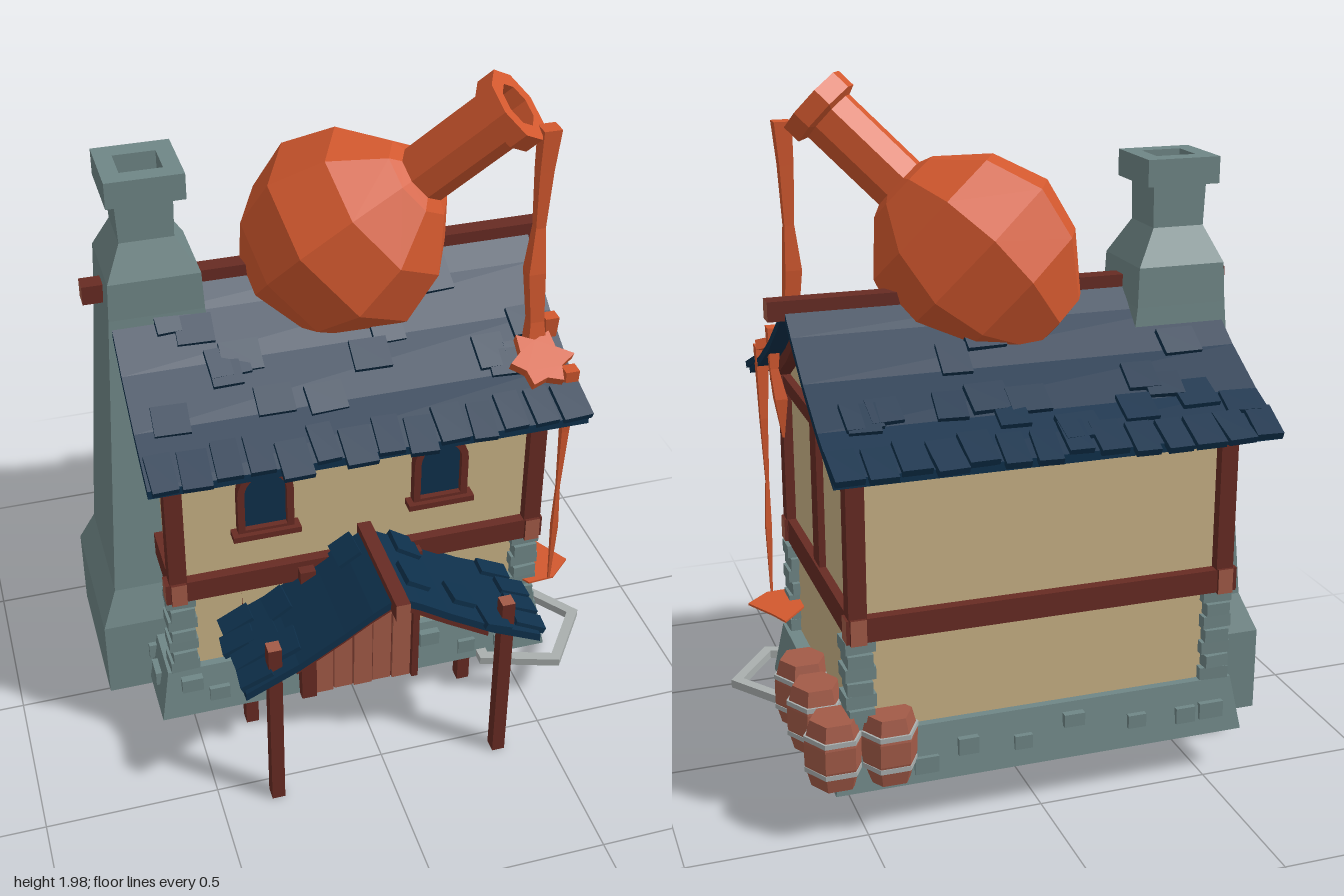
import * as THREE from 'three';

const mat = (name, color) => {
  const m = new THREE.MeshStandardMaterial({ color });
  m.name = name;
  return m;
};
const plaster = mat('plaster', 0xc8b185), wood = mat('darkWood', 0x672b23), cut = mat('lightWood', 0xa25a47),
  tile = mat('blueTile', 0x0e304b), stone = mat('stone', 0x6f8686), orange = mat('orange', 0xd2582e),
  metal = mat('paleMetal', 0xa9afae);

let seed = 7;
const rnd = (a = 0, b = 1) => {
  seed = (seed * 16807) % 2147483647;
  return a + (b - a) * seed / 2147483647;
};

function add(parent, name, geo, material, x = 0, y = 0, z = 0) {
  const m = new THREE.Mesh(geo, material);
  m.name = name;
  m.position.set(x, y, z);
  parent.add(m);
  return m;
}
function group(parent, name) {
  const g = new THREE.Group();
  g.name = name;
  parent.add(g);
  return g;
}
// Box given by its min and max corners
const span = (p, name, m, x0, x1, y0, y1, z0, z1) =>
  add(p, name, new THREE.BoxGeometry(x1 - x0, y1 - y0, z1 - z0), m, (x0 + x1) / 2, (y0 + y1) / 2, (z0 + z1) / 2);

// Flat-shaded skin over rectangles [y, x0, x1, z0, z1]
function loft(rings, capped = true) {
  const pts = rings.map(([y, x0, x1, z0, z1]) => [[x0, y, z1], [x1, y, z1], [x1, y, z0], [x0, y, z0]]);
  const pos = [];
  const quad = (a, b, c, d) => pos.push(...a, ...b, ...c, ...a, ...c, ...d);
  for (let i = 0; i + 1 < pts.length; i++)
    for (let k = 0; k < 4; k++) {
      const n = (k + 1) % 4;
      quad(pts[i][k], pts[i][n], pts[i + 1][n], pts[i + 1][k]);
    }
  if (capped) {
    const [a, b, c, d] = pts[0];
    quad(a, d, c, b);
    quad(...pts[pts.length - 1]);
  }
  const g = new THREE.BufferGeometry();
  g.setAttribute('position', new THREE.Float32BufferAttribute(pos, 3));
  g.computeVertexNormals();
  return g;
}
const strand = list => loft(list.map(([x, y, z, r]) => [y, x - r, x + r, z - r, z + r]));
const extrude = (points, depth) => {
  const g = new THREE.ExtrudeGeometry(new THREE.Shape(points.map(p => new THREE.Vector2(...p))), { depth, bevelEnabled: false });
  return g.translate(0, 0, -depth / 2);
};

// Curved strip following a mirrored roof profile of [distance from ridge, height]
function strip(profile, top, bottom, depth) {
  const row = off => [...profile.slice(1).reverse().map(([d, y]) => [-d, y + off]), ...profile.map(([d, y]) => [d, y + off])];
  return extrude([...row(bottom), ...row(top).reverse()], depth);
}

// Roof with its ridge along local z, ragged eaves and loose shingles
function roof(parent, name, profile, length, loose, size) {
  const g = group(parent, name);
  add(g, 'roofSlab', strip(profile, 0, -0.025, length), tile);
  const shingle = (side, d, z, l, w) => {
    let i = 1;
    while (i < profile.length - 1 && profile[i][0] < d) i++;
    const [d0, y0] = profile[i - 1], [d1, y1] = profile[i];
    const slope = (y1 - y0) / (d1 - d0);
    const m = add(g, 'shingle', new THREE.BoxGeometry(l, 0.02, w), tile, side * d, y0 + slope * (d - d0) + 0.004, z);
    m.rotation.set(0, rnd(-0.08, 0.08), side * Math.atan(slope));
  };
  const end = profile[profile.length - 1][0];
  for (const side of [-1, 1]) {
    for (let z = -length / 2 + size / 2; z < length / 2 - size / 3; z += size)
      shingle(side, end - rnd(0.015, 0.05), z, size * 1.3, size * rnd(0.75, 0.98));
    for (let i = 0; i < loose; i++)
      shingle(side, rnd(0.12, 0.85) * end, rnd(-0.44, 0.44) * length, size * rnd(0.9, 1.2), size * rnd(0.9, 1.3));
  }
  return g;
}

function window_(parent, x) {
  const g = group(parent, 'window');
  const arch = (r, y0) => {
    const s = new THREE.Shape();
    s.moveTo(-r, y0);
    s.lineTo(r, y0);
    s.lineTo(r, 0.905);
    s.absarc(0, 0.905, r, 0, Math.PI, false);
    return s;
  };
  const frame = arch(0.08, 0.77);
  frame.holes.push(arch(0.06, 0.785));
  const opt = depth => ({ depth, bevelEnabled: false, curveSegments: 6 });
  add(g, 'windowFrame', new THREE.ExtrudeGeometry(frame, opt(0.03)), wood, x, 0, 0.275);
  add(g, 'windowPane', new THREE.ExtrudeGeometry(arch(0.062, 0.78), opt(0.009)), tile, x, 0, 0.278);
  span(g, 'windowSill', wood, x - 0.097, x + 0.097, 0.758, 0.776, 0.275, 0.32);
}

function barrel(parent, x, z) {
  const g = group(parent, 'barrel');
  g.position.set(x, 0.155, z);
  const flat = geo => geo.rotateY(Math.PI / 2).toNonIndexed();
  const shape = [[0, 0], [0.066, 0], [0.083, 0.065], [0.083, 0.13], [0.066, 0.195], [0, 0.195]].map(p => new THREE.Vector2(...p));
  const body = flat(new THREE.LatheGeometry(shape, 6));
  body.computeVertexNormals();
  add(g, 'barrelBody', body, cut);
  for (const y of [0.052, 0.145]) {
    const hoop = flat(new THREE.CylinderGeometry(0.084, 0.084, 0.014, 6));
    hoop.computeVertexNormals();
    add(g, 'barrelHoop', hoop, metal, 0, y, 0);
  }
}

export function createModel() {
  const model = new THREE.Group();
  model.name = 'alchemistHouse';
  const cx = -0.015, cz = -0.093;
  const ring = (y, w, d) => [y, cx - w, cx + w, cz - d, cz + d];

  // Ground floor: hollow walls, flared stone base, corner stones
  add(model, 'lowerWalls', loft([ring(0.13, 0.53, 0.355), ring(0.57, 0.53, 0.355), ring(0.57, 0.51, 0.335), ring(0.13, 0.51, 0.335), ring(0.13, 0.53, 0.355)], false), plaster);
  add(model, 'stoneBase', loft([ring(0.13, 0.6, 0.403), ring(0.29, 0.572, 0.378), ring(0.29, 0.525, 0.35), ring(0.13, 0.525, 0.35), ring(0.13, 0.6, 0.403)], false), stone);
  const stones = group(model, 'stones');
  for (const sx of [-1, 1]) for (const sz of [-1, 1])
    for (let i = 0; i < 7; i++) {
      const w = i % 2 ? 0.07 : 0.085;
      add(stones, 'cornerStone', new THREE.BoxGeometry(w, 0.037, 0.155 - w), stone, cx + sx * 0.52, 0.31 + i * 0.04, cz + sz * 0.348).rotation.y = rnd(-0.08, 0.08);
    }
  for (const s of [-1, 1]) {
    for (const x of [-0.52, -0.44, -0.29, 0.21, 0.33, 0.45, ...(s < 0 ? [-0.1, 0.05] : [])])
      add(stones, 'baseStone', new THREE.BoxGeometry(rnd(0.05, 0.075), rnd(0.035, 0.05), 0.03), stone, x, rnd(0.175, 0.25), cz + s * 0.389);
    for (const z of [-0.38, -0.25, -0.14, 0.0, 0.1, 0.19])
      add(stones, 'baseStone', new THREE.BoxGeometry(0.03, rnd(0.035, 0.05), rnd(0.05, 0.075)), stone, cx + s * 0.584, rnd(0.175, 0.25), z);
  }

  // Upper floor with curved gables
  const main = [[0, 1.395], [0.09, 1.325], [0.22, 1.235], [0.37, 1.15], [0.53, 1.08]];
  const gable = [[-0.37, 0.57], [0.37, 0.57], [0.37, 1.12], [0.22, 1.21], [0.09, 1.3], [0, 1.365], [-0.09, 1.3], [-0.22, 1.21], [-0.37, 1.12]];
  const upper = group(model, 'upperFloor');
  upper.position.set(cx, 0, cz);
  upper.rotation.y = Math.PI / 2;
  add(upper, 'upperWalls', extrude(gable, 1.05), plaster);
  for (const s of [-1, 1])
    add(upper, 'gableTrim', strip(main.slice(0, 4).concat([[0.46, 1.11]]), -0.02, -0.065, 0.04), wood, 0, 0, s * 0.545);
  roof(upper, 'mainRoof', main, 1.225, 16, 0.088);

  // Timber frame
  const frame = group(model, 'timberFrame');
  const ends = [cut, cut, wood, wood, wood, wood], endsZ = [wood, wood, wood, wood, cut, cut];
  for (const s of [-1, 1]) {
    const z = cz + s * 0.378, x = cx + s * 0.528;
    span(frame, 'lowerBeam', ends, cx - 0.565, cx + 0.56, 0.57, 0.638, z - 0.023, z + 0.023);
    span(frame, 'upperBeam', wood, cx - 0.55, cx + 0.55, 1.05, 1.095, z - 0.02, z + 0.02);
    span(frame, 'sideLowerBeam', endsZ, x - 0.022, x + 0.022, 0.567, 0.64, cz - 0.41, cz + 0.41);
    span(frame, 'sideUpperBeam', wood, x - 0.02, x + 0.02, 1.05, 1.092, cz - 0.395, cz + 0.395);
    span(frame, 'middlePost', wood, x - 0.016, x + 0.016, 0.6, 1.06, cz - 0.035, cz + 0.035);
    for (const t of [-1, 1]) {
      const pz = cz + t * 0.376;
      span(frame, 'cornerPost', wood, x - 0.025, x + 0.025, 0.6, 1.09, pz - 0.025, pz + 0.025);
    }
  }
  span(frame, 'ridgeBeam', ends, -0.69, 0.645, 1.355, 1.41, cz - 0.026, cz + 0.026);
  window_(model, -0.285);
  window_(model, 0.225);

  // Door
  const door = group(model, 'door');
  for (let i = 0; i < 5; i++)
    span(door, 'doorPlank', cut, -0.153 + i * 0.06, -0.097 + i * 0.06, 0.13, 0.49, 0.27, i % 2 ? 0.32 : 0.325);
  span(door, 'doorBack', wood, -0.155, 0.15, 0.13, 0.49, 0.265, 0.315);
  span(door, 'doorPost', wood, -0.198, -0.153, 0.13, 0.62, 0.265, 0.338);
  span(door, 'doorPost', wood, 0.145, 0.165, 0.13, 0.62, 0.265, 0.338);
  span(door, 'doorLintel', wood, -0.198, 0.165, 0.488, 0.525, 0.265, 0.338);

  // Porch
  const porch = group(model, 'porch');
  const small = [[0, 0.705], [0.07, 0.665], [0.15, 0.612], [0.28, 0.533], [0.43, 0.462]];
  roof(porch, 'porchRoof', small, 0.31, 4, 0.075).position.set(0.005, 0, 0.447);
  add(porch, 'porchTrim', strip(small.slice(0, 4), -0.02, -0.06, 0.035), wood, 0.005, 0, 0.56);
  span(porch, 'porchRidgeBeam', endsZ, -0.015, 0.025, 0.665, 0.718, 0.28, 0.648);
  const postEnds = [wood, wood, cut, wood, wood, wood];
  for (const x of [-0.335, 0.343]) {
    span(porch, 'porchPost', postEnds, x - 0.019, x + 0.019, 0, 0.575, 0.537, 0.577);
    span(porch, 'porchRearPost', postEnds, x - 0.019, x + 0.019, 0, 0.56, 0.222, 0.262);
  }

  // Chimney with a hollow cap
  add(model, 'chimney', loft([
    [0.1, -0.74, -0.15, -0.335, 0.115], [0.35, -0.74, -0.15, -0.335, 0.115], [0.46, -0.695, -0.25, -0.295, 0.08],
    [1.34, -0.635, -0.37, -0.235, 0.012], [1.45, -0.63, -0.375, -0.23, 0.01], [1.55, -0.585, -0.435, -0.18, -0.03],
    [1.67, -0.59, -0.432, -0.18, -0.03], [1.67, -0.616, -0.402, -0.21, 0], [1.745, -0.616, -0.402, -0.21, 0],
    [1.745, -0.567, -0.45, -0.153, -0.05], [1.65, -0.567, -0.45, -0.153, -0.05]]), stone);

  // Tilted round flask
  const profile = [[0, -0.29], [0.13, -0.275], [0.255, -0.14], [0.3, 0.01], [0.245, 0.17], [0.12, 0.285], [0.083, 0.3], [0.083, 0.565],
    [0.11, 0.575], [0.11, 0.63], [0.065, 0.63], [0.06, 0.4], [0, 0.38]];
  const flask = new THREE.LatheGeometry(profile.map(p => new THREE.Vector2(...p)), 8).toNonIndexed();
  flask.computeVertexNormals();
  add(model, 'flask', flask, orange, 0.035, 1.47, -0.053)
    .quaternion.setFromUnitVectors(new THREE.Vector3(0, 1, 0), new THREE.Vector3(0.415, 0.435, 0.215).normalize());

  // Spilled liquid: strands, splash on the roof, puddle
  const spill = group(model, 'spill');
  add(spill, 'pouringStrand', strand([[0.515, 1.16, 0.22, 0.03], [0.515, 1.27, 0.21, 0.02], [0.507, 1.42, 0.2, 0.024],
    [0.515, 1.55, 0.19, 0.014], [0.518, 1.72, 0.19, 0.02], [0.525, 1.84, 0.19, 0.025]]), orange);
  add(spill, 'longDrip', strand([[0.585, 0.39, 0.305, 0.003], [0.585, 0.6, 0.31, 0.009], [0.582, 0.75, 0.315, 0.005],
    [0.585, 0.95, 0.315, 0.011], [0.58, 1.17, 0.33, 0.02]]), orange);
  add(spill, 'shortDrip', strand([[0.555, 0.93, 0.175, 0.003], [0.56, 1.05, 0.175, 0.018], [0.575, 1.14, 0.18, 0.012],
    [0.57, 1.26, 0.19, 0.02]]), orange);
  const star = [];
  for (let i = 0; i < 12; i++) {
    const r = i % 2 ? 0.06 : rnd(0.085, 0.11), a = i * Math.PI / 6;
    star.push([r * Math.cos(a), r * Math.sin(a)]);
  }
  add(spill, 'roofSplash', extrude(star, 0.03), orange, 0.505, 1.182, 0.29).rotation.x = -Math.PI / 2 + 0.5;
  add(spill, 'puddle', extrude([[-0.1, 0], [-0.05, -0.08], [0.03, -0.075], [0.1, -0.01], [0.045, 0.09], [0.02, 0.15], [-0.05, 0.07]], 0.006),
    orange, 0.57, 0.39, 0.23).rotation.x = -Math.PI / 2;

  // Five-sided metal ring by the corner
  const pent = r => [0, 1, 2, 3, 4].map(i => new THREE.Vector2(r * Math.cos(i * 0.4 * Math.PI), r * Math.sin(i * 0.4 * Math.PI)));
  const hoop = new THREE.Shape(pent(0.205));
  hoop.holes.push(new THREE.Path(pent(0.168)));
  add(model, 'groundRing', new THREE.ExtrudeGeometry(hoop, { depth: 0.025, bevelEnabled: false }), metal, 0.53, 0.13, 0.225).rotation.x = -Math.PI / 2;

  for (const [x, z] of [[0.577, -0.08], [0.577, -0.245], [0.577, -0.455], [0.43, -0.47]]) barrel(model, x, z);
  return model;
}
